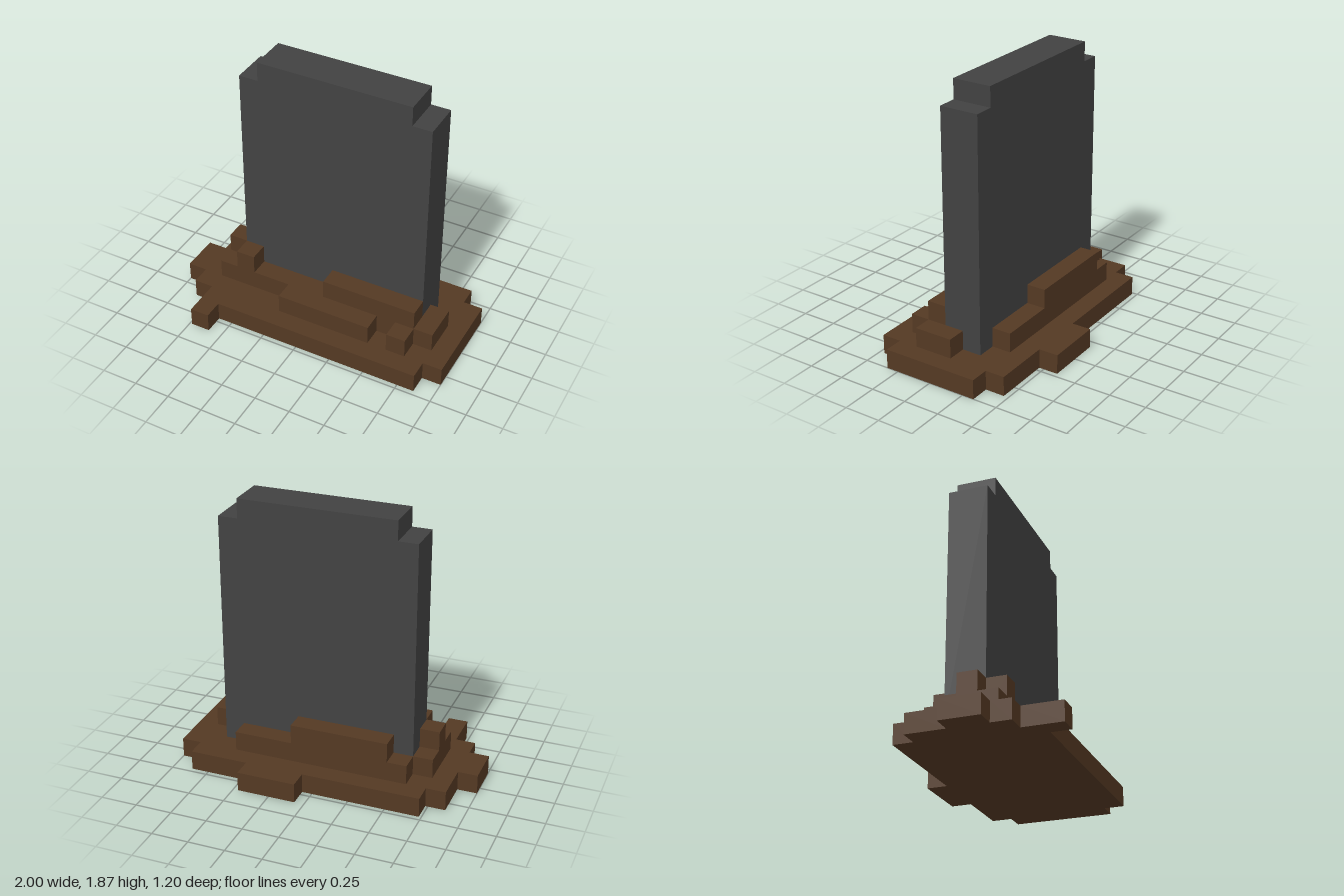
import * as THREE from 'three';

const U = 2 / 15; // one grid cell
const X = (i) => -1 + i * U;
const Z = (k) => -0.6 + k * U;

export function createModel() {
  const model = new THREE.Group();
  model.name = 'gravestone';
  const stone = new THREE.MeshStandardMaterial({ color: 0x424242 });
  stone.name = 'dark stone';
  const soil = new THREE.MeshStandardMaterial({ color: 0x543923 });
  soil.name = 'brown soil';

  const add = (name, geometry, material) => {
    const mesh = new THREE.Mesh(geometry, material);
    mesh.name = name;
    model.add(mesh);
  };

  // Box between grid lines
  const block = (name, x0, x1, y0, y1, z0, z1) => {
    const g = new THREE.BoxGeometry((x1 - x0) * U, (y1 - y0) * U, (z1 - z0) * U);
    g.translate(X((x0 + x1) / 2), (y0 + y1) / 2 * U, Z((z0 + z1) / 2));
    add(name, g, soil);
  };

  // Ragged ground slab, outlined in grid cells (x, z)
  const outline = [
    [8, 0], [11, 0], [11, 1], [14, 1], [14, 2], [15, 2], [15, 7], [14, 7], [14, 8],
    [3, 8], [3, 9], [2, 9], [2, 7], [1, 7], [1, 6], [0, 6], [0, 4], [1, 4],
    [1, 2], [2, 2], [2, 1], [8, 1],
  ];
  const ground = new THREE.ExtrudeGeometry(
    new THREE.Shape(outline.map(([i, k]) => new THREE.Vector2(X(i), Z(k)))),
    { depth: U, bevelEnabled: false });
  ground.rotateX(Math.PI / 2).translate(0, U, 0);
  add('ground', ground, soil);

  // Upright slab with stepped top corners
  const face = [[3, 1], [13, 1], [13, 13], [12, 13], [12, 14], [4, 14], [4, 13], [3, 13]];
  const slab = new THREE.ExtrudeGeometry(
    new THREE.Shape(face.map(([i, j]) => new THREE.Vector2(X(i), j * U))),
    { depth: 2 * U, bevelEnabled: false });
  slab.translate(0, 0, Z(3));
  add('headstone', slab, stone);

  // Heaped soil in front
  block('frontBankLeftEnd', 2, 3, 1, 2, 5, 6);
  block('frontPost', 3, 4, 1, 3, 5, 6);
  block('frontBankLow', 4, 8, 1, 2, 5, 6);
  block('frontBankHigh', 8, 13, 1, 3, 5, 6);
  block('frontStep', 6, 11, 1, 2, 6, 7);
  block('frontClod', 12, 13, 1, 2, 6, 7);

  // Heaped soil at the sides
  block('sideBankLow', 2, 3, 1, 2, 3, 4);
  block('sidePost', 2, 3, 1, 3, 4, 5);
  block('sideStep', 13, 14, 1, 2, 4, 6);

  // Heaped soil behind
  block('backClod', 3, 4, 1, 2, 2, 3);
  block('backBankHigh', 4, 9, 1, 3, 2, 3);
  block('backBankLow', 9, 12, 1, 2, 2, 3);

  return model;
}
